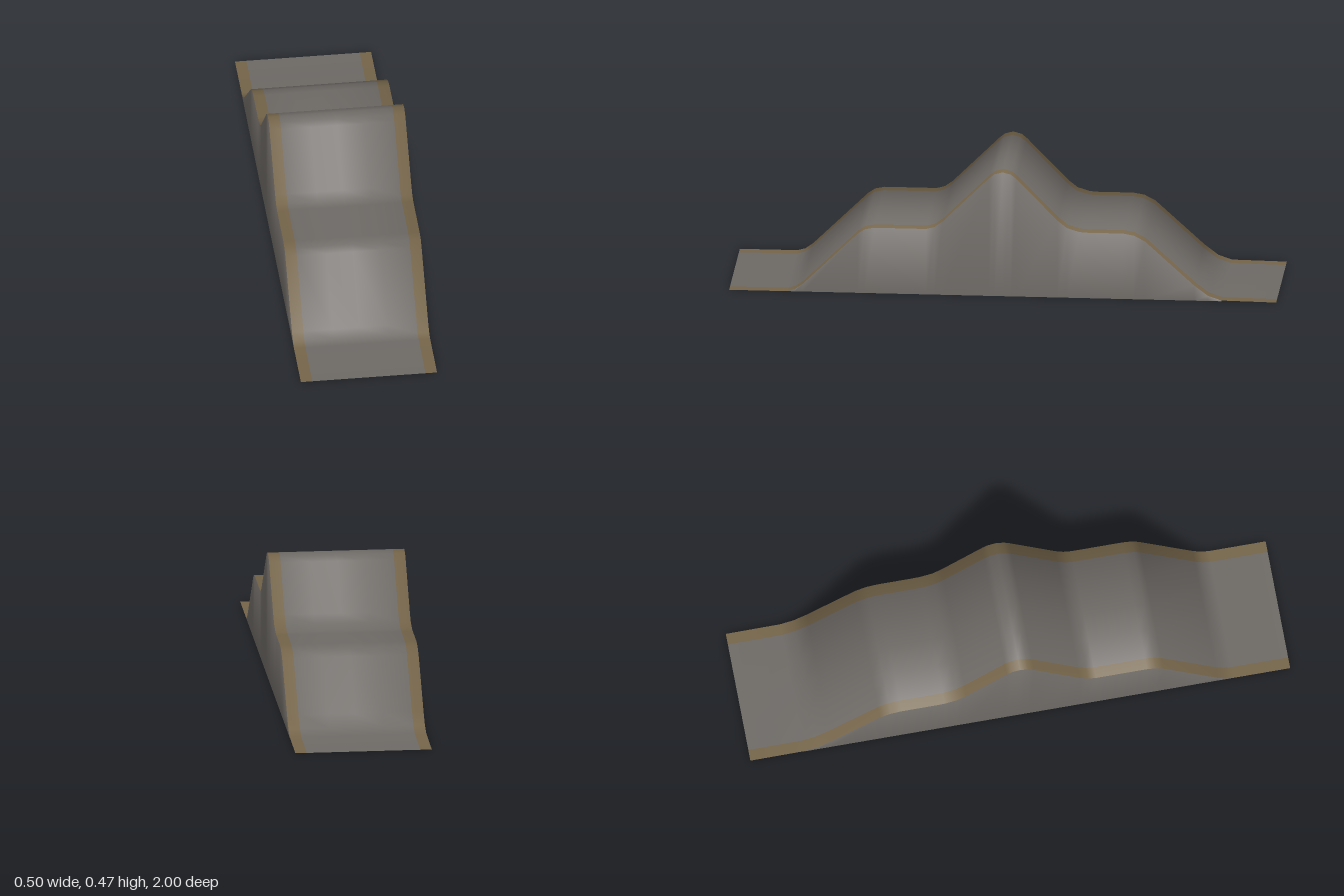
import * as THREE from 'three';

// Side profile of the ramp as [z, y], running from the front end to the back end
const PROFILE = [
  [1, 0], [0.79, 0], [0.76, 0.008], [0.73, 0.03], [0.53, 0.226], [0.505, 0.243], [0.47, 0.25],
  [0.28, 0.25], [0.25, 0.258], [0.22, 0.28], [0.05, 0.449], [0.03, 0.465], [0, 0.473],
  [-0.03, 0.465], [-0.05, 0.449], [-0.2, 0.294], [-0.235, 0.266], [-0.28, 0.252], [-0.31, 0.25],
  [-0.44, 0.25], [-0.48, 0.243], [-0.52, 0.222], [-0.7, 0.058], [-0.75, 0.02], [-0.8, 0.003], [-1, 0],
];
const HALF = 0.25;    // half the width of the ramp
const INNER = 0.208;  // inner edge of the painted stripes

// Normal of the driving surface at a profile point, leaning outward near the sides
function deckNormal(i, x) {
  const [z0, y0] = PROFILE[Math.max(i - 1, 0)];
  const [z1, y1] = PROFILE[Math.min(i + 1, PROFILE.length - 1)];
  const n = new THREE.Vector3(0, z0 - z1, y1 - y0).normalize();
  const lean = Math.min(PROFILE[i][1] / 0.05, 1) * 0.55;
  n.x = lean * (x / HALF);
  return n.normalize();
}

// A point on the deck, and a point on the ground below the deck edge
const deckAt = (x) => (i) => ({ p: [x, PROFILE[i][1], PROFILE[i][0]], n: deckNormal(i, x).toArray() });
const groundAt = (x) => (i) => ({ p: [x, 0, PROFILE[i][0]], n: [Math.sign(x), 0, 0] });
const wallTopAt = (x) => (i) => ({
  p: [x, PROFILE[i][1], PROFILE[i][0]],
  n: deckNormal(i, x).add(new THREE.Vector3(Math.sign(x) * 1.5, 0, 0)).normalize().toArray(),
});

// Smooth surface spanning several edge lines along the profile
function loft(lines, from = 0, to = PROFILE.length - 1) {
  const pos = [], nor = [], idx = [];
  const w = lines.length;
  for (let i = from; i <= to; i++) {
    for (const line of lines) {
      const { p, n } = line(i);
      pos.push(...p);
      nor.push(...n);
    }
    if (i === to) continue;
    for (let c = 0; c < w - 1; c++) {
      const a = (i - from) * w + c;
      idx.push(a, a + 1, a + w, a + 1, a + w + 1, a + w);
    }
  }
  const g = new THREE.BufferGeometry();
  g.setAttribute('position', new THREE.Float32BufferAttribute(pos, 3));
  g.setAttribute('normal', new THREE.Float32BufferAttribute(nor, 3));
  g.setIndex(idx);
  return g;
}

export function createModel() {
  const grey = new THREE.MeshStandardMaterial({ color: 0x6e6a66, side: THREE.DoubleSide });
  grey.name = 'asphalt grey';
  const brown = new THREE.MeshStandardMaterial({ color: 0x75654a, side: THREE.DoubleSide });
  brown.name = 'stripe brown';

  const group = new THREE.Group();
  group.name = 'ramp';
  const add = (name, geometry, material) => {
    const mesh = new THREE.Mesh(geometry, material);
    mesh.name = name;
    group.add(mesh);
  };

  // Driving surface with a stripe along each edge
  add('deck', loft([-INNER, -0.1, 0, 0.1, INNER].map(deckAt)), grey);
  add('rightStripe', loft([deckAt(-HALF), deckAt(-INNER)]), brown);
  add('leftStripe', loft([deckAt(INNER), deckAt(HALF)]), brown);

  // Side walls between the two flat end aprons, open underneath
  const last = PROFILE.length - 2;
  add('leftWall', loft([wallTopAt(HALF), groundAt(HALF)], 1, last), grey);
  add('rightWall', loft([groundAt(-HALF), wallTopAt(-HALF)], 1, last), grey);

  return group;
}
